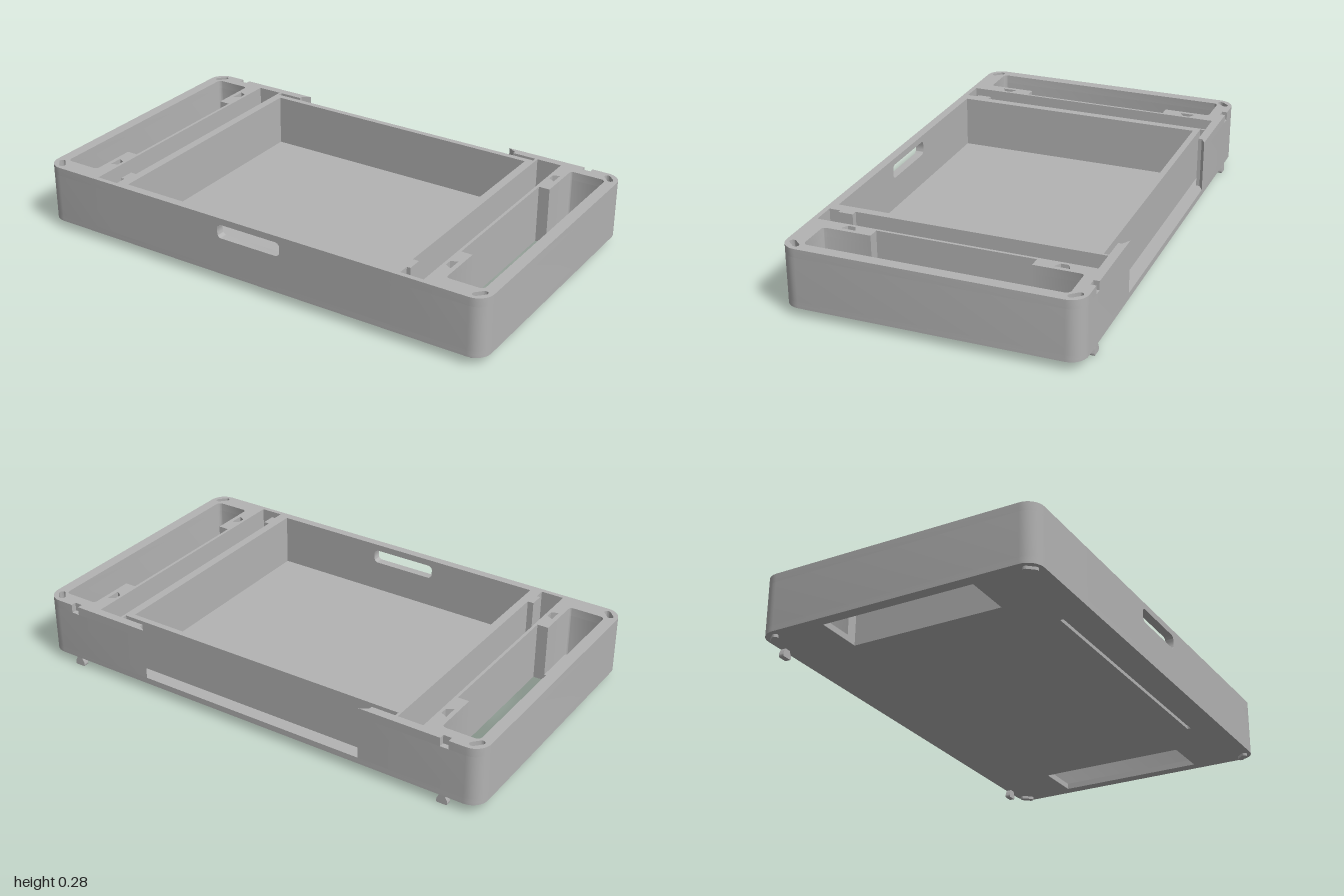
import * as THREE from 'three';
import { toCreasedNormals } from 'three/addons/utils/BufferGeometryUtils.js';

const grey = new THREE.MeshStandardMaterial({ color: 0xb3b3b3 });
grey.name = 'grey plastic';

// Closed path from [a, b, cornerRadius] points
function trace(points, path = new THREE.Shape()) {
  const n = points.length;
  points.forEach(([x, y, r = 0], i) => {
    const p = new THREE.Vector2(x, y);
    const toward = (q, d) => new THREE.Vector2(q[0], q[1]).sub(p).normalize().multiplyScalar(d).add(p);
    const prev = points[(i + n - 1) % n], next = points[(i + 1) % n];
    const a = toward(prev, r), b = toward(next, r);
    if (i === 0) path.moveTo(a.x, a.y); else path.lineTo(a.x, a.y);
    if (r > 0) {
      const c = toward(prev, r * 0.448), d = toward(next, r * 0.448);
      path.bezierCurveTo(c.x, c.y, d.x, d.y, b.x, b.y);
    }
  });
  path.closePath();
  return path;
}

const flip = (points) => points.map(([x, y, r]) => [-x, y, r]).reverse();
const symmetric = (half) => [...half, ...flip(half)];
const both = (holes) => [...holes, ...holes.map(flip)];
const rect = (x0, x1, y0, y1, r = 0) => [[x0, y0, r], [x1, y0, r], [x1, y1, r], [x0, y1, r]];

function solid(points, holes, depth) {
  const shape = trace(points);
  shape.holes = holes.map((h) => trace(h, new THREE.Path()));
  return new THREE.ExtrudeGeometry(shape, { depth, bevelEnabled: false, curveSegments: 8 });
}

// Rounded diagonal pad used for corner feet and the matching sockets
function cornerPad(sz) {
  const a = [0.9675, 0.525], b = [0.945, 0.55], r = 0.0125, pts = [];
  const dir = Math.atan2(b[1] - a[1], b[0] - a[0]);
  [[b, dir - Math.PI / 2], [a, dir + Math.PI / 2]].forEach(([c, start]) => {
    for (let i = 0; i <= 8; i++) {
      const t = start + (i / 8) * Math.PI;
      pts.push([c[0] + r * Math.cos(t), sz * (c[1] + r * Math.sin(t))]);
    }
  });
  return pts;
}

export function createModel() {
  const model = new THREE.Group();
  const add = (name, geometry) => {
    const mesh = new THREE.Mesh(toCreasedNormals(geometry, 0.6), grey);
    mesh.name = name;
    model.add(mesh);
  };
  // Horizontal slab drawn in x, z between two heights
  const slab = (name, points, holes, y0, y1) =>
    add(name, solid(points, holes, y1 - y0).rotateX(Math.PI / 2).translate(0, y1, 0));

  const floorY = 0.06, socketY = 0.24, topY = 0.275, bottomY = 0.035;

  // Floor with two open side windows and a slit underneath
  const plan = symmetric([[1, -0.58, 0.065], [1, 0.58, 0.065]]);
  const windows = both([rect(0.757, 0.953, -0.32, 0.31)]);
  slab('floorUnderside', plan, [...windows, rect(-0.57, 0.57, 0.445, 0.46)], bottomY, 0.05);
  slab('floor', plan, windows, 0.05, floorY);

  // Walls around the side pockets and the long narrow slots
  const pocket = [[0.803, -0.515, 0.015], [0.953, -0.515, 0.02], [0.953, 0.505, 0.02], [0.803, 0.505, 0.015],
    [0.803, 0.31], [0.757, 0.31], [0.757, -0.32], [0.803, -0.32]];
  const slot = [[0.64, -0.545], [0.745, -0.545], [0.745, 0.56], [0.65, 0.56],
    [0.65, 0.515], [0.665, 0.515], [0.665, 0.455], [0.64, 0.455]];
  const backEdge = [[0.63, -0.525], [0.63, -0.545], [0.53, -0.545], [0.53, -0.56], [0.495, -0.58]];
  const notch = [[0.833, -0.58], [0.833, -0.558], [0.867, -0.558], [0.867, -0.58]];
  const rest = [[1, -0.58, 0.065], [1, 0.58, 0.065], [0.605, 0.58], [0.605, -0.5]];
  slab('walls', symmetric([...backEdge, ...rest]), both([pocket, slot]), floorY, socketY);

  // Wall rim with connector notches, dovetail sockets and corner sockets
  const dovetail = (z) => [[0.758, z - 0.015], [0.785, z - 0.03], [0.785, z + 0.03], [0.758, z + 0.015]];
  const sockets = both([pocket, slot, dovetail(-0.425), dovetail(0.41), cornerPad(1), cornerPad(-1)]);
  slab('wallRim', symmetric([...backEdge, ...notch, ...rest]), sockets, socketY, topY);

  // Front panel with hand hole
  add('frontPanel', solid(rect(-0.605, 0.605, floorY, topY), [rect(-0.143, 0.143, 0.19, 0.248, 0.018)], 0.035)
    .translate(0, 0, 0.545));

  // Corner feet and rear connector pegs
  for (const sx of [1, -1]) {
    for (const sz of [1, -1]) {
      slab('cornerFoot', cornerPad(sz).map(([x, z]) => [sx * x, z]), [], 0.023, bottomY);
    }
    const peg = [[-0.022, 0, 0.004], [0.022, 0, 0.004], [0.022, 0.016, 0.004], [0.012, bottomY],
      [-0.012, bottomY], [-0.022, 0.016, 0.004]];
    add('connectorPeg', solid(peg, [], 0.022).translate(sx * 0.85, 0, -0.58));
  }
  return model;
}
